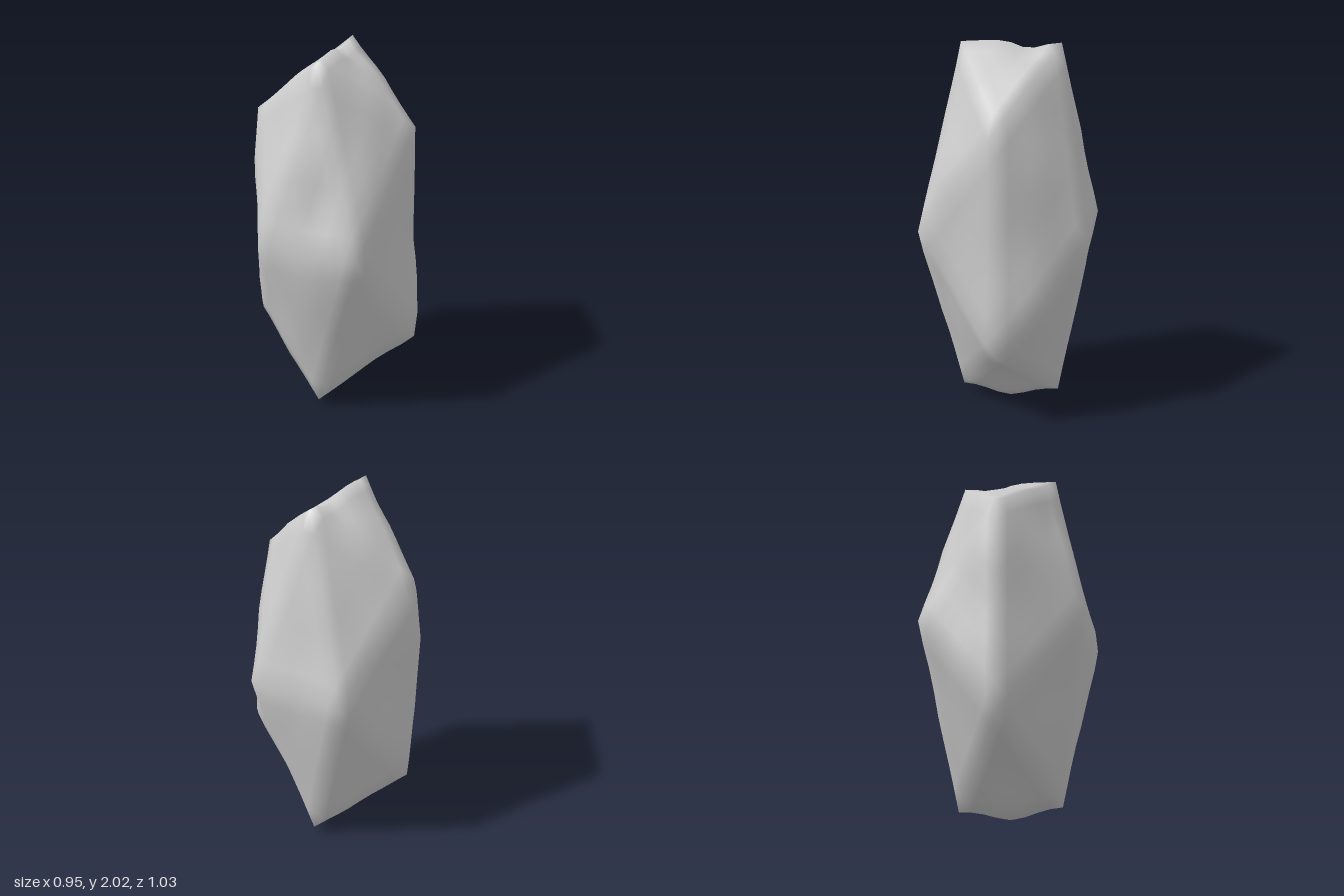
import * as THREE from 'three';
import { mergeVertices } from 'three/addons/utils/BufferGeometryUtils.js';

// Local swellings and hollows: x, y, z, radius, outward amount
const BUMPS = [
  [0.24, 0.60, -0.36, 0.16, 0.05],
  [0.39, 0.55, -0.16, 0.14, 0.045],
  [0.46, 0.97, 0.23, 0.13, 0.018],
  [-0.46, 1.00, -0.23, 0.13, 0.018],
  [0.25, 0.90, 0.36, 0.15, 0.03],
  [0.25, 1.28, 0.29, 0.08, -0.035],
  [0.36, 1.32, 0.10, 0.10, 0.025],
  [0.07, 1.72, 0.29, 0.14, -0.03],
  [-0.38, 1.32, 0.24, 0.12, 0.03],
  [-0.38, 0.64, 0.22, 0.12, 0.02],
  [-0.41, 0.86, 0.12, 0.10, 0.015],
  [-0.10, 0.90, -0.45, 0.12, 0.02],
  [-0.22, 1.25, -0.32, 0.12, -0.015],
  [-0.05, 1.98, -0.09, 0.10, -0.04],
  [0.01, 0.04, 0.00, 0.14, 0.04],
];

// Gentle irregular waviness
function ripple(p) {
  return 0.5 * Math.sin(11 * p.x + 5 * p.y + 1.3) * Math.cos(9 * p.z - 4 * p.y)
    + 0.5 * Math.sin(17 * p.z + 6 * p.y - 8 * p.x + 0.6);
}

function displace(p, fade) {
  const dir = new THREE.Vector3(p.x, (p.y - 1.02) * 0.45, p.z).normalize();
  let amount = fade * (0.008 + 0.008 * ripple(p));
  for (const [x, y, z, r, a] of BUMPS) {
    const d2 = (p.x - x) ** 2 + (0.55 * (p.y - y)) ** 2 + (p.z - z) ** 2;
    amount += a * Math.exp(-d2 / (r * r));
  }
  return p.clone().addScaledVector(dir, amount);
}

export function createModel() {
  const group = new THREE.Group();

  // Tall twenty-sided core with a diagonal ridge at top and bottom
  const core = new THREE.IcosahedronGeometry(1, 0);
  core.rotateY(THREE.MathUtils.degToRad(-58.5));
  core.scale(0.514, 1.152, 0.514);
  core.translate(0, 1.02, 0);

  // Divide each flat face into a triangular grid and weather it
  const N = 8;
  const src = core.attributes.position;
  const out = [];
  for (let f = 0; f < src.count; f += 3) {
    const [a, b, c] = [0, 1, 2].map((k) => new THREE.Vector3().fromBufferAttribute(src, f + k));
    const point = (i, j) => {
      const u = i / N, v = j / N, w = 1 - u - v;
      const p = a.clone().multiplyScalar(w).addScaledVector(b, u).addScaledVector(c, v);
      return displace(p, Math.min(1, 2 * (1 - Math.max(u, v, w))));
    };
    const tri = (...ps) => ps.forEach((p) => out.push(p.x, p.y, p.z));
    for (let i = 0; i < N; i++) {
      for (let j = 0; j < N - i; j++) {
        tri(point(i, j), point(i + 1, j), point(i, j + 1));
        if (i + j < N - 1) tri(point(i + 1, j), point(i + 1, j + 1), point(i, j + 1));
      }
    }
  }

  let geometry = new THREE.BufferGeometry();
  geometry.setAttribute('position', new THREE.Float32BufferAttribute(out, 3));
  geometry = mergeVertices(geometry, 1e-4);
  geometry.computeVertexNormals();

  const rock = new THREE.Mesh(geometry, new THREE.MeshStandardMaterial({ color: 0xcccccc }));
  rock.name = 'rock';
  group.add(rock);
  return group;
}
